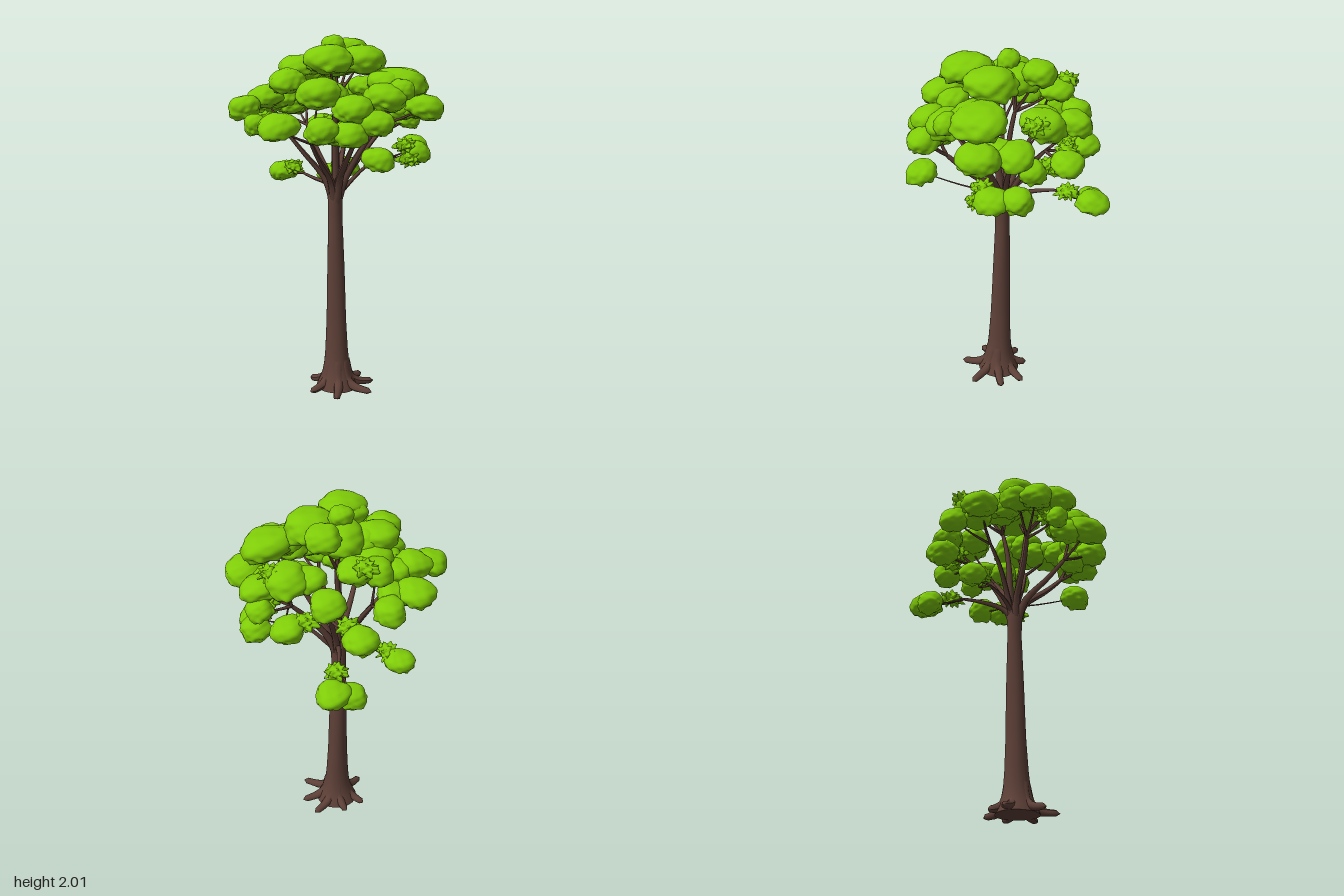
import * as THREE from 'three';
import { mergeVertices } from 'three/addons/utils/BufferGeometryUtils.js';

const bark = new THREE.MeshStandardMaterial({ color: 0x5d4037 });
bark.name = 'bark brown';
const leaf = new THREE.MeshStandardMaterial({ color: 0x7fcc08 });
leaf.name = 'leaf green';

const V = (x, y, z) => new THREE.Vector3(x, y, z);
const UP = V(0, 1, 0);

function add(parent, name, geometry, material) {
  const mesh = new THREE.Mesh(geometry, material);
  mesh.name = name;
  parent.add(mesh);
  return mesh;
}

// Moves every vertex of a geometry by a rule, then refreshes the normals
function reshape(geometry, rule) {
  const p = geometry.attributes.position, v = V(0, 0, 0);
  for (let i = 0; i < p.count; i++) {
    v.fromBufferAttribute(p, i);
    rule(v);
    p.setXYZ(i, v.x, v.y, v.z);
  }
  geometry.computeVertexNormals();
  return geometry;
}

// Tube along points that tapers from radius r0 to r1, with a closed tip
function taperedTube(points, r0, r1, sides = 8, steps = 10) {
  const curve = new THREE.CatmullRomCurve3(points);
  const g = new THREE.TubeGeometry(curve, steps, 1, sides, false);
  const p = g.attributes.position, v = V(0, 0, 0);
  for (let i = 0; i < p.count; i++) {
    const t = Math.floor(i / (sides + 1)) / steps, c = curve.getPointAt(t);
    const r = t === 1 ? 0.001 : r0 + (r1 - r0) * t;
    v.fromBufferAttribute(p, i).sub(c).multiplyScalar(r).add(c);
    p.setXYZ(i, v.x, v.y, v.z);
  }
  g.computeVertexNormals();
  return g;
}

// Trunk: radius by height, with a flared foot
const PROFILE = [[0, 0.12], [0.03, 0.108], [0.08, 0.086], [0.14, 0.073], [0.22, 0.065], [0.4, 0.056],
  [0.7, 0.049], [1, 0.04], [1.12, 0.042], [1.2, 0.036], [1.24, 0.01]];
function radiusAt(y) {
  const i = Math.max(1, PROFILE.findIndex((q) => q[0] >= y - 1e-6));
  const [a, b] = [PROFILE[i - 1], PROFILE[i]];
  return THREE.MathUtils.lerp(a[1], b[1], THREE.MathUtils.clamp((y - a[0]) / (b[0] - a[0]), 0, 1));
}

function trunkGeometry() {
  return reshape(new THREE.CylinderGeometry(1, 1, 1.24, 28, 40), (v) => {
    const y = v.y + 0.62, a = Math.atan2(v.z, v.x);
    const r = radiusAt(y) * (1 + 0.02 * Math.sin(3 * a + y * 5));
    v.set(v.x * r + 0.012 - 0.022 * Math.min(1, y), y, v.z * r - 0.02);
  });
}

// Foliage cushion: domed top, ragged underside, bumpy all over
function cushion(r, h, seed, rough) {
  let g = new THREE.IcosahedronGeometry(1, 7);
  g.deleteAttribute('normal');
  g.deleteAttribute('uv');
  g = mergeVertices(g, 1e-4);
  return reshape(g, (v) => {
    const { x, y, z } = v;
    const broad = Math.sin(2.6 * x + seed) * Math.sin(2.9 * z + seed * 1.7) + 0.6 * Math.sin(3.7 * y + 2 * x + seed * 2.3);
    const fine = Math.sin(9 * x + seed * 3) * Math.sin(8 * y - seed) + Math.sin(10 * z + 5 * y + seed * 5) * Math.sin(7 * x - seed);
    const spike = Math.pow(Math.abs(Math.sin(6 * x + seed) * Math.sin(5 * z - seed * 2)), 3);
    const under = THREE.MathUtils.smoothstep(-y, -0.1, 0.6);
    const k = 0.98 + 0.07 * broad + (0.025 + rough * 0.1 + 0.03 * under) * fine + (0.12 * under + rough * 0.6) * spike;
    // A power below one squares off the rim for a pillowy side
    const side = Math.pow(Math.hypot(x, z) || 1e-6, -0.2);
    v.set(x * side * k * r, (y < 0 ? 0.85 : 1) * y * h * k, z * side * k * r);
  });
}

// Foliage cushions: x, y, z, radius
const CUSHIONS = [
  // crown
  [0.13, 1.885, 0.12, 0.135], [0.1, 1.87, -0.11, 0.14], [-0.04, 1.95, -0.03, 0.062], [-0.12, 1.92, -0.21, 0.09],
  [-0.13, 1.83, 0.13, 0.115], [-0.07, 1.85, -0.06, 0.13],
  // upper ring
  [0.02, 1.77, 0.31, 0.1], [0.21, 1.72, 0.24, 0.12], [0.25, 1.76, -0.28, 0.14], [0.34, 1.69, -0.09, 0.11],
  [-0.27, 1.78, -0.13, 0.09], [-0.3, 1.75, -0.02, 0.09], [-0.19, 1.75, 0.05, 0.11], [-0.05, 1.72, -0.38, 0.115],
  [-0.26, 1.67, 0.27, 0.1], [-0.28, 1.66, -0.31, 0.09], [0.38, 1.73, -0.17, 0.065],
  // outer ring
  [-0.25, 1.62, 0.41, 0.09], [0.12, 1.55, 0.43, 0.11], [0.31, 1.54, 0.29, 0.09], [0.36, 1.52, 0.15, 0.1],
  [0.34, 1.64, 0.12, 0.105], [0.44, 1.39, 0.03, 0.085], [0.42, 1.57, 0.03, 0.09],
  [-0.42, 1.62, 0.14, 0.105], [-0.44, 1.6, -0.05, 0.085], [-0.4, 1.47, -0.2, 0.095], [0.31, 1.62, -0.39, 0.11],
  [0.13, 1.61, -0.43, 0.1], [0.06, 1.53, -0.48, 0.07], [-0.15, 1.52, -0.46, 0.085], [-0.11, 1.54, 0.43, 0.06],
  // low sprays
  [0.24, 1.37, -0.39, 0.09], [0.13, 1.38, -0.46, 0.085],
  [-0.38, 1.2, -0.36, 0.09], [-0.42, 1.17, -0.27, 0.075], [-0.4, 1.22, 0.07, 0.08],
];

// Small ragged leaf tufts: x, y, z
const TUFTS = [[-0.28, 1.24, -0.26], [-0.33, 1.25, 0.05], [-0.3, 1.5, -0.2], [-0.33, 1.82, -0.12],
  [0.02, 1.75, -0.43], [0.25, 1.41, -0.31], [-0.19, 1.55, -0.38], [-0.1, 1.57, 0.36], [0.28, 1.34, -0.31]];

// Limb ends: x, y, z and base radius
const LIMBS = [
  [0.3, 1.46, 0.08, 0.026], [0.15, 1.48, 0.26, 0.024], [-0.15, 1.52, 0.24, 0.022], [-0.25, 1.53, 0.02, 0.02],
  [-0.17, 1.52, -0.24, 0.022], [0.07, 1.5, -0.3, 0.023], [0.22, 1.56, -0.17, 0.024], [0.05, 1.72, 0.02, 0.026],
  [-0.06, 1.72, -0.08, 0.024], [-0.25, 1.24, -0.22, 0.018], [-0.27, 1.23, 0.04, 0.015], [0.14, 1.34, -0.3, 0.014],
];

// Roots: angle in degrees, reach
const ROOTS = [[-14, 0.235], [30, 0.225], [92, 0.2], [150, 0.185], [205, 0.165], [250, 0.215], [300, 0.215]];

export function createModel() {
  const tree = new THREE.Group();
  tree.name = 'tree';

  add(tree, 'trunk', trunkGeometry(), bark);

  const roots = new THREE.Group();
  roots.name = 'roots';
  tree.add(roots);
  ROOTS.forEach(([deg, reach], i) => {
    const a = THREE.MathUtils.degToRad(deg), bend = (i % 2 ? 1 : -1) * 0.12;
    const at = (d, y, b) => V(0.012 + d * Math.cos(a + b), y, -0.02 + d * Math.sin(a + b));
    const path = [at(0.035, 0.16, 0), at(0.075, 0.05, 0), at(0.13, 0.02, bend / 2), at(reach, 0.012, bend)];
    const g = taperedTube(path, 0.036, 0.018, 10, 12);
    add(roots, 'root', reshape(g, (v) => { v.y = Math.max(0, v.y); }), bark);
  });

  const branches = new THREE.Group();
  branches.name = 'branches';
  tree.add(branches);
  const forks = LIMBS.map(([x, y, z, r]) => {
    const low = y < 1.4, y0 = low ? 1.12 : 1.08;
    const path = [V(-0.008 + x * 0.04, y0, -0.02 + z * 0.04),
      V(-0.01 + x * 0.2, y0 + (low ? 0.06 : 0.14), -0.02 + z * 0.2),
      V(x * 0.6, THREE.MathUtils.lerp(y0, y, low ? 0.8 : 0.68), z * 0.6), V(x, y, z)];
    add(branches, 'limb', taperedTube(path, r, r * 0.42), bark);
    return { mid: path[2], end: path[3], r };
  });

  const foliage = new THREE.Group();
  foliage.name = 'foliage';
  tree.add(foliage);
  // Outer cushions droop away from the trunk
  function placeCushion(name, c, r, seed) {
    const mesh = add(foliage, name, cushion(r, 0.038 + 0.31 * r, seed, 0), leaf);
    mesh.position.copy(c);
    mesh.quaternion.setFromAxisAngle(V(c.z, 0, -c.x).normalize(), 0.55 * Math.hypot(c.x, c.z));
  }
  CUSHIONS.forEach(([x, y, z, r], i) => {
    const c = V(x, y, z);
    placeCushion('leafCushion', c, r, i * 1.37 + 0.5);

    // Large cushions get a smaller lobe beside them, nearer the trunk
    if (r >= 0.1) {
      const lobe = c.clone().applyAxisAngle(UP, (i % 2 ? 1 : -1) * 0.2).multiply(V(0.8, 1, 0.8));
      lobe.y -= 0.01;
      placeCushion('leafLobe', lobe, r * 0.78, i * 2.3 + 1);
    }

    // A twig runs from the nearest limb into the cushion
    const cost = (f) => f.end.distanceTo(c) + (f.end.y > y + 0.05 ? 1 : 0);
    const fork = forks.reduce((a, b) => (cost(b) < cost(a) ? b : a));
    const start = fork.mid.clone().lerp(fork.end, 0.8);
    const bend = start.clone().lerp(c, 0.5).addScaledVector(UP, -0.01);
    add(branches, 'twig', taperedTube([start, bend, c], fork.r * 0.42, 0.003, 6, 6), bark);
  });
  TUFTS.forEach(([x, y, z], i) => {
    add(foliage, 'leafTuft', cushion(0.048, 0.031, i * 2.1 + 0.3, 1), leaf).position.set(x, y, z);
  });
  return tree;
}
